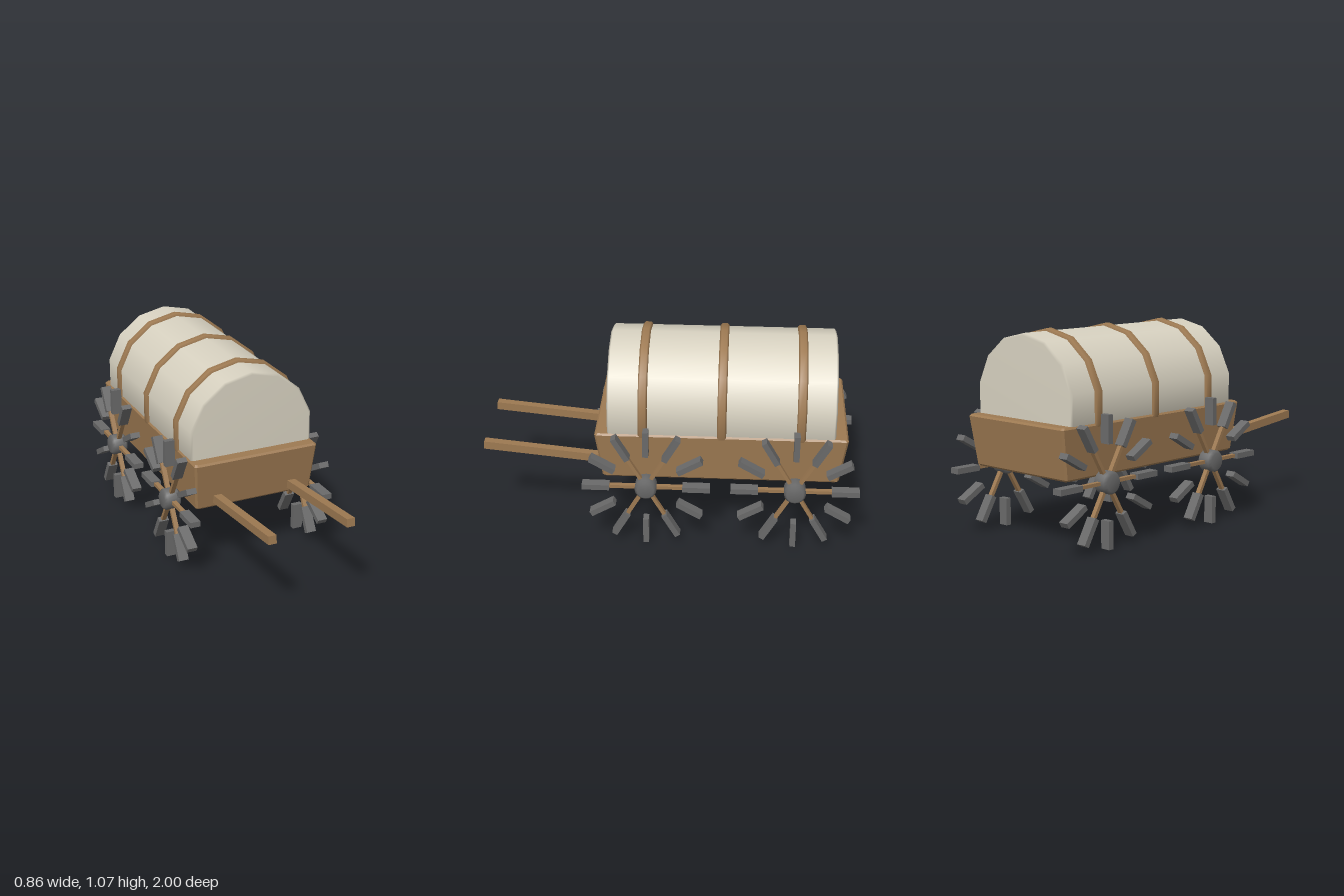
import * as THREE from 'three';

const mat = (name, color) => {
  const m = new THREE.MeshStandardMaterial({ color });
  m.name = name;
  return m;
};

// Solid of revolution around the z axis from [radius, z] points
function latheZ(points, sides) {
  const g = new THREE.LatheGeometry(points.map(([r, z]) => new THREE.Vector2(r, z)), sides);
  return g.rotateX(Math.PI / 2);
}

// Tapered box with chamfered edges, stacked from rings [y, halfX, halfZ]
function taperedBox(rings, chamfer) {
  const pos = [];
  const loops = rings.map(([y, hx, hz]) => {
    const c = chamfer, x = hx - c, z = hz - c;
    return [[hx, -z], [hx, z], [x, hz], [-x, hz], [-hx, z], [-hx, -z], [-x, -hz], [x, -hz]]
      .map(([px, pz]) => [px, y, pz]);
  });
  const tri = (...corners) => corners.forEach((p) => pos.push(...p));
  for (let r = 0; r < loops.length - 1; r++) {
    const lo = loops[r], hi = loops[r + 1];
    for (let i = 0; i < 8; i++) {
      const j = (i + 1) % 8;
      tri(lo[i], hi[i], lo[j]);
      tri(lo[j], hi[i], hi[j]);
    }
  }
  const bottom = loops[0], top = loops[loops.length - 1];
  for (let i = 1; i < 7; i++) {
    tri(bottom[0], bottom[i], bottom[i + 1]);
    tri(top[0], top[i + 1], top[i]);
  }
  const g = new THREE.BufferGeometry();
  g.setAttribute('position', new THREE.Float32BufferAttribute(pos, 3));
  g.computeVertexNormals();
  return g;
}

export function createModel() {
  const wood = mat('wood', 0x9e7a52);
  const canvas = mat('canvas', 0xd8d2c1);
  const iron = mat('iron', 0x6a6a6a);

  const model = new THREE.Group();
  model.name = 'coveredWagon';
  const add = (parent, name, geometry, material, x = 0, y = 0, z = 0) => {
    const mesh = new THREE.Mesh(geometry, material);
    mesh.name = name;
    mesh.position.set(x, y, z);
    parent.add(mesh);
    return mesh;
  };

  const midZ = -0.267, coverY = 0.711;

  // Wagon bed, wider at the top
  add(model, 'bed', taperedBox([
    [0.362, 0.322, 0.612], [0.372, 0.332, 0.622],
    [0.622, 0.350, 0.659], [0.632, 0.342, 0.650],
  ], 0.01), wood, 0, 0, midZ);

  // Fourteen-sided canvas cover with softly rounded ends
  const R = 0.352, H = 0.593;
  add(model, 'cover', latheZ([
    [0, -H], [R - 0.012, -H], [R, -H + 0.01], [R, H - 0.01], [R - 0.012, H], [0, H],
  ], 14), canvas, 0, coverY, midZ);

  // Hoops over the cover
  const hoop = latheZ([
    [0.335, -0.024], [0.357, -0.024], [0.366, -0.015],
    [0.366, 0.015], [0.357, 0.024], [0.335, 0.024],
  ], 14);
  for (const z of [0.14, -0.27, -0.68]) add(model, 'hoop', hoop, wood, 0, coverY, z);

  // Two sloping shafts
  const shaft = new THREE.BoxGeometry(0.044, 0.044, 0.70);
  for (const x of [-0.215, 0.215]) {
    add(model, 'shaft', shaft, wood, x, 0.441, 0.65).rotation.x = -0.1;
  }

  // Wheels: hub, six spokes and twelve radial rim blocks
  const hubGeo = latheZ([
    [0, -0.046], [0.044, -0.046], [0.058, -0.032],
    [0.058, 0.032], [0.044, 0.046], [0, 0.046],
  ], 16).rotateY(Math.PI / 2);
  const spokeGeo = new THREE.BoxGeometry(0.025, 0.25, 0.018).translate(0, 0.145, 0);
  const blockGeo = new THREE.BoxGeometry(0.055, 0.145, 0.03).translate(0, 0.265, 0);
  for (const x of [-0.382, 0.382]) {
    for (const z of [0.122, -0.66]) {
      const wheel = new THREE.Group();
      wheel.name = (z > 0 ? 'front' : 'rear') + (x > 0 ? 'Left' : 'Right') + 'Wheel';
      wheel.position.set(x, 0.34, z);
      add(wheel, 'hub', hubGeo, iron);
      for (let i = 0; i < 12; i++) {
        const angle = (i * Math.PI) / 6;
        add(wheel, 'rimBlock', blockGeo, iron).rotation.x = angle;
        if (i % 2) add(wheel, 'spoke', spokeGeo, wood).rotation.x = angle;
      }
      model.add(wheel);
    }
  }
  return model;
}
